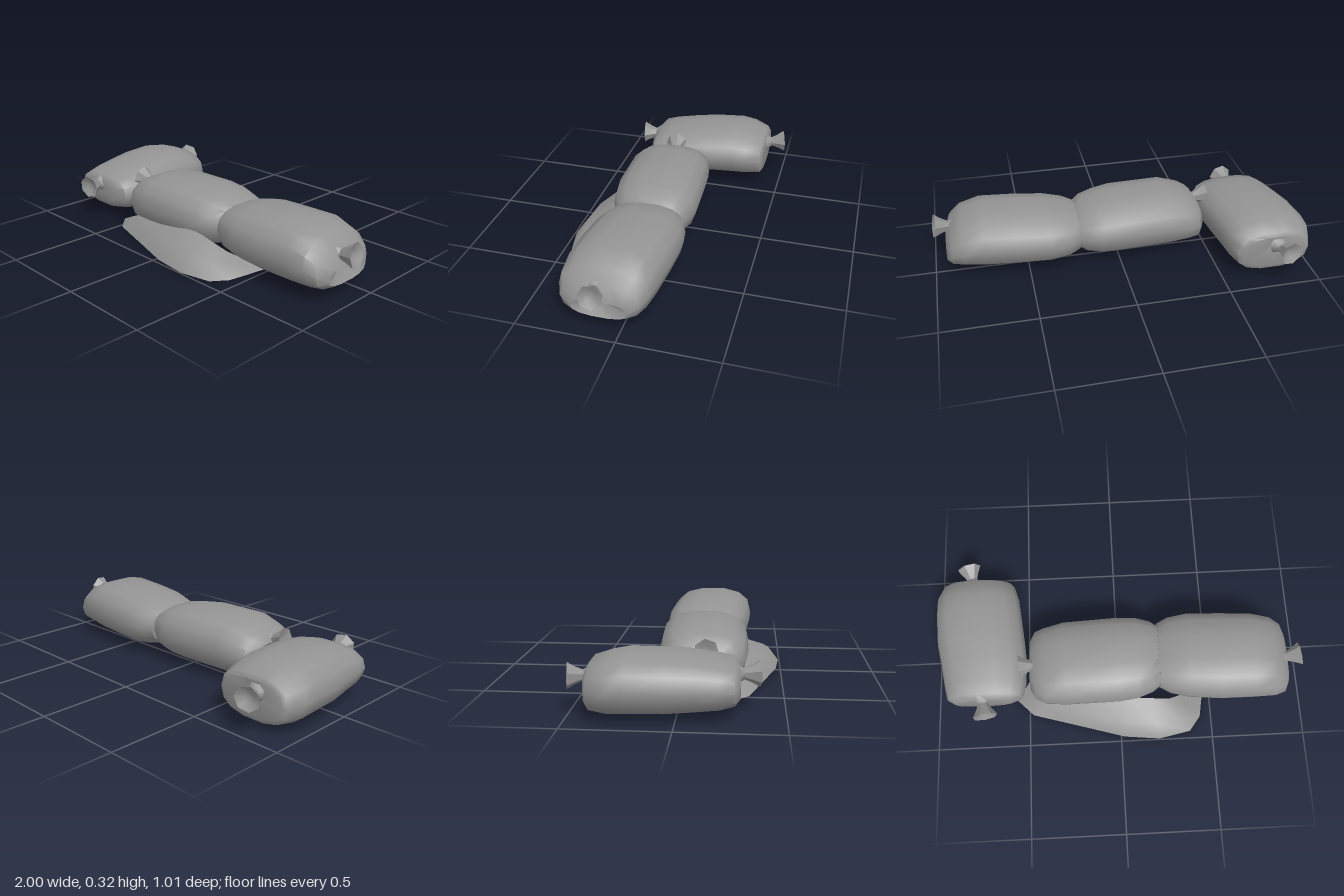
import * as THREE from 'three';
import { toCreasedNormals } from 'three/addons/utils/BufferGeometryUtils.js';

const SIDES = 14;

// Skin a list of equal-length rows of points; closed rows wrap round.
function loft(rows, closed) {
  const n = rows[0].length, index = [];
  for (let i = 0; i < rows.length - 1; i++) {
    for (let j = 0; j < (closed ? n : n - 1); j++) {
      const k = (j + 1) % n;
      const a = i * n + j, b = i * n + k, c = a + n, d = b + n;
      index.push(a, b, c, b, d, c);
    }
  }
  const geo = new THREE.BufferGeometry();
  geo.setAttribute('position', new THREE.Float32BufferAttribute(rows.flat(2), 3));
  geo.setIndex(index);
  return toCreasedNormals(geo, 0.85);
}

// Rings along an axis: [position, sideMin, sideMax, yMin, yMax], squarish ovals.
function bagGeometry(rings, axis) {
  const soft = (v) => Math.sign(v) * Math.pow(Math.abs(v), 0.8);
  const rows = rings.map(([t, s0, s1, y0, y1]) => {
    const row = [];
    for (let j = 0; j < SIDES; j++) {
      const a = (j / SIDES) * Math.PI * 2;
      const c = soft(Math.cos(a)) / 2, y = (y0 + y1) / 2 + soft(Math.sin(a)) * (y1 - y0) / 2;
      const mid = (s0 + s1) / 2;
      row.push(axis === 'x' ? [t, y, mid - c * (s1 - s0)] : [mid + c * (s1 - s0), y, t]);
    }
    return row;
  });
  return loft(rows, true);
}

export function createModel() {
  const group = new THREE.Group();
  const grey = new THREE.MeshStandardMaterial({ color: 0x949494 });
  grey.name = 'sackGrey';
  grey.side = THREE.DoubleSide;

  const add = (name, geo) => {
    const mesh = new THREE.Mesh(geo, grey);
    mesh.name = name;
    group.add(mesh);
    return mesh;
  };

  // Bag lying front to back
  add('sideBag', bagGeometry([
    [-0.385, -0.76, -0.74, 0.16, 0.18],
    [-0.40, -0.94, -0.59, 0.06, 0.24],
    [-0.385, -0.965, -0.565, 0.035, 0.262],
    [-0.30, -1.00, -0.54, 0.025, 0.29],
    [-0.22, -1.00, -0.53, 0.025, 0.305],
    [-0.05, -0.99, -0.51, 0.025, 0.298],
    [0.08, -0.965, -0.498, 0.03, 0.285],
    [0.20, -0.945, -0.505, 0.04, 0.265],
    [0.265, -0.93, -0.52, 0.06, 0.245],
    [0.29, -0.89, -0.58, 0.09, 0.215],
    [0.285, -0.73, -0.71, 0.15, 0.17],
  ], 'z'));

  // Middle bag, pressed against its neighbour
  add('middleBag', bagGeometry([
    [-0.45, 0.10, 0.12, 0.16, 0.18],
    [-0.48, -0.05, 0.23, 0.07, 0.22],
    [-0.45, -0.10, 0.28, 0.04, 0.265],
    [-0.40, -0.115, 0.31, 0.03, 0.29],
    [-0.29, -0.135, 0.322, 0.025, 0.325],
    [0.00, -0.15, 0.32, 0.025, 0.322],
    [0.10, -0.148, 0.305, 0.03, 0.308],
    [0.18, -0.125, 0.275, 0.045, 0.29],
    [0.22, -0.10, 0.245, 0.07, 0.262],
    [0.23, 0.07, 0.08, 0.16, 0.17],
  ], 'x'));

  // Outer bag
  add('outerBag', bagGeometry([
    [0.21, 0.07, 0.08, 0.16, 0.17],
    [0.22, -0.115, 0.25, 0.065, 0.265],
    [0.28, -0.145, 0.285, 0.04, 0.288],
    [0.38, -0.16, 0.31, 0.025, 0.308],
    [0.55, -0.152, 0.328, 0.025, 0.318],
    [0.73, -0.138, 0.33, 0.03, 0.327],
    [0.84, -0.12, 0.325, 0.04, 0.29],
    [0.90, -0.09, 0.30, 0.05, 0.235],
    [0.93, -0.04, 0.24, 0.07, 0.16],
    [0.89, 0.10, 0.12, 0.13, 0.15],
  ], 'x'));

  // Tied, flared ends of the bags
  const profile = [[0.055, 0], [0.028, 0.045], [0.042, 0.08], [0.066, 0.125], [0.03, 0.105], [0, 0.095]]
    .map(([r, h]) => new THREE.Vector2(r, h));
  const up = new THREE.Vector3(0, 1, 0);
  const tie = (name, from, to) => {
    const geo = toCreasedNormals(new THREE.LatheGeometry(profile, 7), 0.8);
    const start = new THREE.Vector3(...from);
    const dir = new THREE.Vector3(...to).sub(start);
    const mesh = add(name, geo);
    mesh.position.copy(start);
    mesh.scale.set(1, dir.length() / 0.125, 0.95);
    mesh.quaternion.setFromUnitVectors(up, dir.normalize());
  };
  tie('sideBagBackTie', [-0.79, 0.185, -0.385], [-0.82, 0.19, -0.495]);
  tie('sideBagFrontTie', [-0.74, 0.19, 0.265], [-0.72, 0.19, 0.375]);
  tie('middleBagTie', [-0.43, 0.22, 0.11], [-0.54, 0.235, 0.12]);
  tie('outerBagTie', [0.87, 0.205, 0.13], [0.985, 0.222, 0.115]);

  // Loose earth heaped against the front: ground rim, shoulder, top edge
  const rim = [[-0.46, 0, 0.07], [-0.57, 0, 0.24], [-0.48, 0, 0.33], [-0.22, 0, 0.405], [0.02, 0, 0.475],
    [0.21, 0, 0.495], [0.38, 0, 0.46], [0.44, 0, 0.38], [0.46, 0, 0.27], [0.49, 0, 0.07]];
  const shoulder = [[-0.45, 0.005, 0.08], [-0.47, 0.045, 0.24], [-0.41, 0.06, 0.29], [-0.20, 0.075, 0.36], [0.02, 0.085, 0.42],
    [0.20, 0.08, 0.435], [0.33, 0.065, 0.405], [0.38, 0.05, 0.35], [0.42, 0.03, 0.26], [0.46, 0.015, 0.08]];
  const top = [[-0.44, 0.01, 0.10], [-0.40, 0.075, 0.23], [-0.35, 0.09, 0.25], [-0.15, 0.112, 0.27], [0.04, 0.138, 0.29],
    [0.17, 0.13, 0.30], [0.27, 0.11, 0.30], [0.32, 0.085, 0.28], [0.37, 0.05, 0.23], [0.44, 0.02, 0.09]];
  add('earthMound', loft([rim, shoulder, top], false));

  return group;
}
